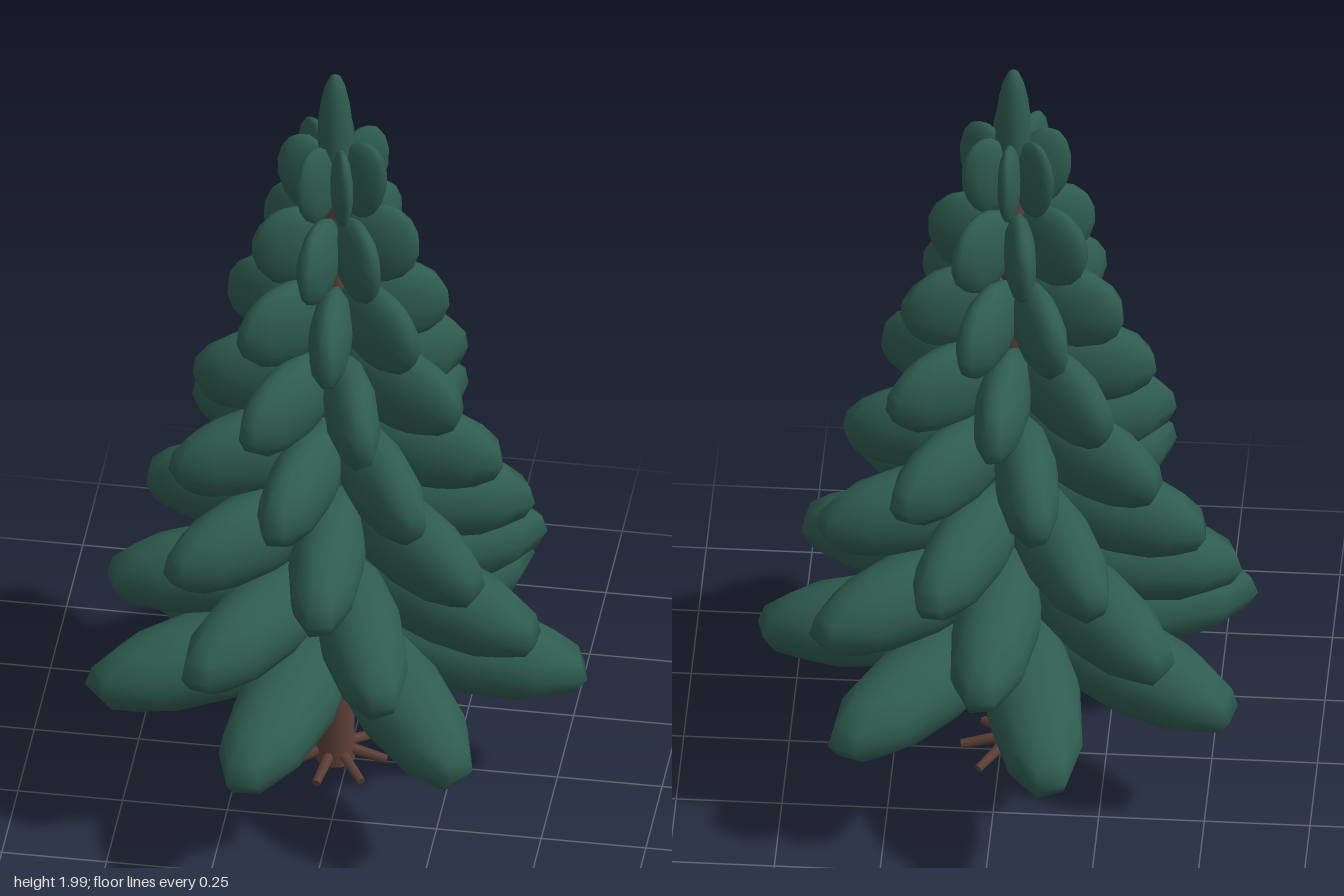
import * as THREE from 'three';

export function createModel() {
  const tree = new THREE.Group();
  tree.name = 'firTree';
  const needleGreen = new THREE.MeshStandardMaterial({ color: 0x2f5d50 });
  needleGreen.name = 'needleGreen';
  const barkBrown = new THREE.MeshStandardMaterial({ color: 0x5d4037 });
  barkBrown.name = 'barkBrown';

  const add = (parent, name, geometry, material) => {
    const mesh = new THREE.Mesh(geometry, material);
    mesh.name = name;
    parent.add(mesh);
    return mesh;
  };

  // Trunk, tapering up into the crown
  add(tree, 'trunk', new THREE.CylinderGeometry(0.025, 0.047, 1.7, 12), barkBrown).position.y = 0.86;

  // Short roots sloping outward to the ground
  const roots = new THREE.Group();
  roots.name = 'roots';
  tree.add(roots);
  const rootGeometry = new THREE.CylinderGeometry(0.011, 0.014, 0.11, 6);
  rootGeometry.rotateZ(-Math.PI / 2);
  for (let i = 0; i < 7; i++) {
    const angle = (i / 7) * Math.PI * 2;
    const root = add(roots, 'root', rootGeometry, barkBrown);
    root.position.set(Math.cos(angle) * 0.07, 0.03, Math.sin(angle) * 0.07);
    root.rotation.set(0, -angle, -0.28);
  }

  // Tiers of seven drooping boughs, each tier shorter and turned from the one below
  const boughGeometry = new THREE.SphereGeometry(1, 10, 8);
  boughGeometry.rotateY(-Math.PI / 15);
  for (let t = 0; t < 8; t++) {
    const tier = new THREE.Group();
    tier.name = 'boughTier' + (t + 1);
    tier.position.y = 0.37 + t * 0.192;
    tree.add(tier);
    const reach = 0.612 - t * 0.068;
    for (let i = 0; i < 7; i++) {
      const angle = (i / 7) * Math.PI * 2 + t * 0.3;
      const bough = add(tier, 'bough', boughGeometry, needleGreen);
      bough.position.set(Math.cos(angle) * reach * 0.508, 0, Math.sin(angle) * reach * 0.508);
      bough.rotation.set(0, -angle - 0.04, -0.15);
      bough.scale.set(reach * 0.503, 0.112, reach * 0.188);
    }
  }

  // Pointed leader at the top
  const leader = add(tree, 'leader', new THREE.SphereGeometry(1, 10, 10), needleGreen);
  leader.position.y = 1.8;
  leader.scale.set(0.043, 0.2, 0.043);

  tree.position.set(-0.03, 0, 0.004);
  const model = new THREE.Group();
  model.name = 'model';
  model.add(tree);
  return model;
}
